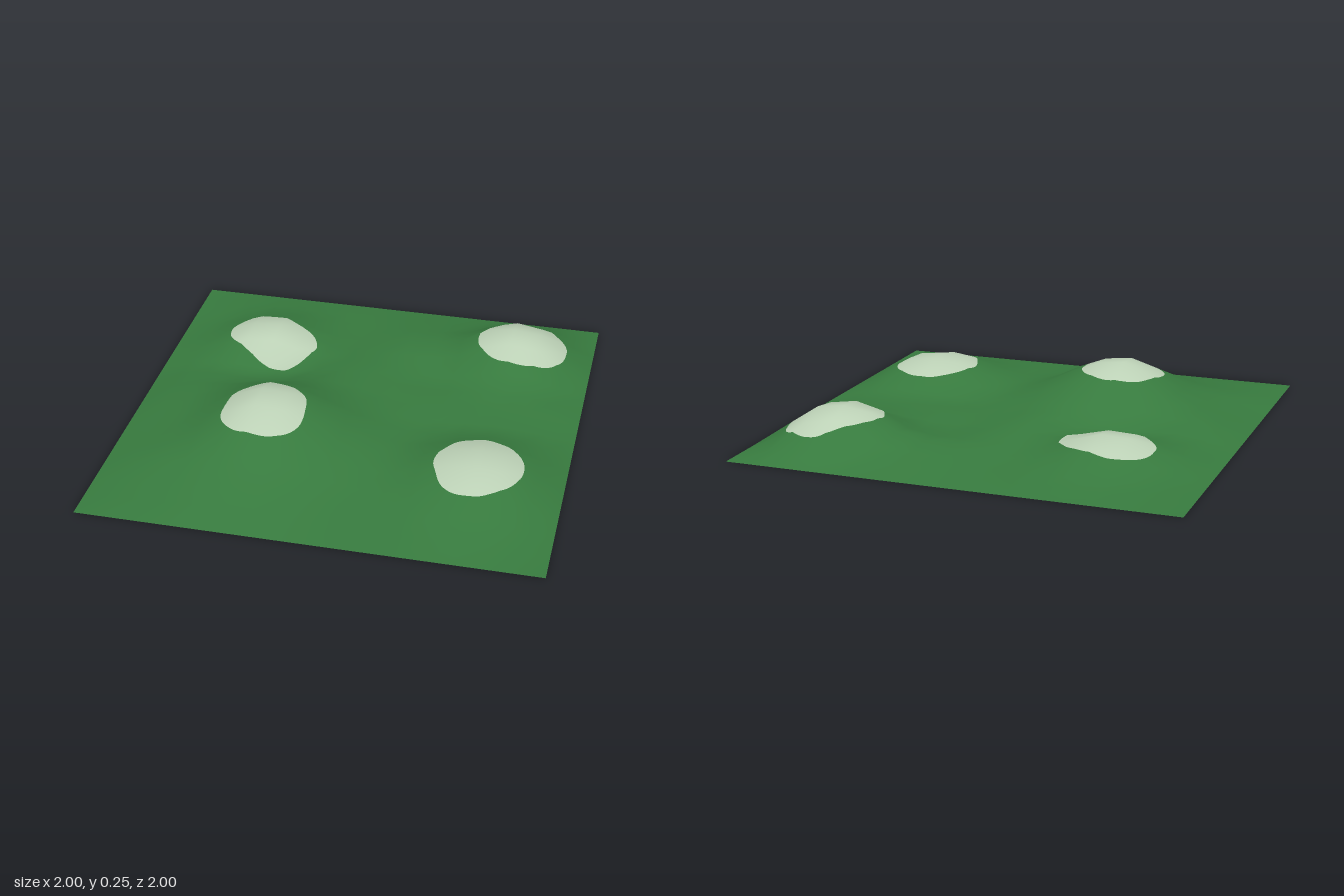
import * as THREE from 'three';

const N = 16;   // coarse terrain cells per side
const SUB = 6;  // fine steps per cell, for clean cap outlines

// hills: centre, height, spread toward -x, +x, -z, +z, flatness of the top
const hills = [
  [-0.35, 0.28, 0.24, 0.21, 0.28, 0.23, 0.285, 2],
  [0.65, -0.6, 0.163, 0.2, 0.2, 0.2, 0.2, 3],
  [0.63, 0.43, 0.135, 0.23, 0.22, 0.22, 0.25, 2.6],
  [-0.54, -0.46, 0.125, 0.19, 0.18, 0.2, 0.13, 2.4],
  [-0.42, -0.22, -0.02, 0.15, 0.12, 0.08, 0.1, 2],
  [-0.1, -0.27, 0.06, 0.15, 0.16, 0.15, 0.15, 2],
  [0.65, -0.13, 0.04, 0.3, 0.25, 0.12, 0.08, 2],
  [-0.78, 0.0, 0.045, 0.12, 0.14, 0.2, 0.2, 2],
  [0.22, -0.6, 0.05, 0.2, 0.2, 0.17, 0.11, 2],
  [-0.75, 0.58, 0.02, 0.15, 0.15, 0.12, 0.1, 2],
];

// pale caps: centre and outline radius every 30 degrees from +x toward +z
const caps = [
  { x: -0.35, z: 0.31, r: [0.185, 0.21, 0.22, 0.205, 0.205, 0.2, 0.18, 0.18, 0.19, 0.195, 0.19, 0.19] },
  { x: 0.67, z: -0.61, r: [0.21, 0.21, 0.2, 0.19, 0.2, 0.21, 0.21, 0.185, 0.18, 0.21, 0.215, 0.22] },
  { x: -0.52, z: -0.44, r: [0.22, 0.215, 0.22, 0.175, 0.15, 0.165, 0.21, 0.235, 0.235, 0.2, 0.18, 0.195] },
  { x: 0.63, z: 0.43, r: [0.195, 0.195, 0.205, 0.225, 0.225, 0.195, 0.195, 0.19, 0.205, 0.215, 0.205, 0.2] },
];

function height(x, z) {
  let y = 0.012;
  for (const [cx, cz, h, xa, xb, za, zb, power] of hills) {
    const u = (x - cx) / (x < cx ? xa : xb), v = (z - cz) / (z < cz ? za : zb);
    y += h * Math.exp(-0.5 * Math.hypot(u, v) ** power);
  }
  // slope down to a flat square rim
  const rim = (t) => Math.min(1, (1 - Math.abs(t)) / 0.135);
  return Math.max(0, y) * rim(x) * rim(z);
}

// positive inside the cap outline
function inside(cap, x, z) {
  const a = (Math.atan2(z - cap.z, x - cap.x) / (Math.PI * 2) + 1) * 12;
  const i = Math.floor(a), t = a - i, p = (k) => cap.r[(i + k + 12) % 12];
  const r = p(0) + 0.5 * t * (p(1) - p(-1)
    + t * (2 * p(-1) - 5 * p(0) + 4 * p(1) - p(2) + t * (3 * (p(0) - p(1)) + p(2) - p(-1))));
  return r - Math.hypot(x - cap.x, z - cap.z);
}

// part of a triangle where sign * f >= 0 (f is the last entry of a vertex)
function clip(tri, sign) {
  const out = [];
  tri.forEach((a, i) => {
    const b = tri[(i + 1) % tri.length], fa = a[6] * sign, fb = b[6] * sign;
    if (fa >= 0) out.push(a);
    if (fa * fb < 0) out.push(a.map((v, k) => v + (b[k] - v) * fa / (fa - fb)));
  });
  return out;
}

function emit(list, poly) {
  for (let i = 1; i + 1 < poly.length; i++) list.push(poly[0], poly[i], poly[i + 1]);
}

function toMesh(list, material, name) {
  const g = new THREE.BufferGeometry();
  g.setAttribute('position', new THREE.Float32BufferAttribute(list.flatMap((v) => v.slice(0, 3)), 3));
  g.setAttribute('normal', new THREE.Float32BufferAttribute(list.flatMap((v) => v.slice(3, 6)), 3));
  const mesh = new THREE.Mesh(g, material);
  mesh.name = name;
  return mesh;
}

export function createModel() {
  const grass = new THREE.MeshStandardMaterial({ color: 0x377a3e, side: THREE.DoubleSide });
  grass.name = 'grass green';
  const pale = new THREE.MeshStandardMaterial({ color: 0xbcd1b6, side: THREE.DoubleSide });
  pale.name = 'pale cap';

  // coarse height grid with smooth normals
  const grid = new THREE.PlaneGeometry(2, 2, N, N).rotateX(-Math.PI / 2);
  const pos = grid.attributes.position;
  for (let i = 0; i < pos.count; i++) pos.setY(i, height(pos.getX(i), pos.getZ(i)));
  grid.computeVertexNormals();
  const nor = grid.attributes.normal;
  const node = (i, j) => {
    const k = j * (N + 1) + i;
    return [pos.getX(k), pos.getY(k), pos.getZ(k), nor.getX(k), nor.getY(k), nor.getZ(k)];
  };

  // point on the two flat triangles of a coarse cell
  const sample = (i, j, u, v) => {
    const a = node(i, j), b = node(i, j + 1), c = node(i + 1, j + 1), d = node(i + 1, j);
    return a.map((_, k) => (u + v <= 1
      ? a[k] + u * (d[k] - a[k]) + v * (b[k] - a[k])
      : c[k] + (1 - u) * (b[k] - c[k]) + (1 - v) * (d[k] - c[k])));
  };

  // split the surface into ground and caps along the outlines
  const ground = [], tops = caps.map(() => []);
  for (let j = 0; j < N; j++) for (let i = 0; i < N; i++) {
    for (let q = 0; q < SUB; q++) for (let p = 0; p < SUB; p++) {
      const at = (dx, dz) => sample(i, j, (p + dx) / SUB, (q + dz) / SUB);
      const a = at(0, 0), b = at(0, 1), c = at(1, 1), d = at(1, 0);
      for (const tri of [[a, b, d], [b, c, d]]) {
        const near = caps.findIndex((cap) => tri.some((v) => inside(cap, v[0], v[2]) > 0));
        if (near < 0) { emit(ground, tri); continue; }
        const marked = tri.map((v) => [...v, inside(caps[near], v[0], v[2])]);
        emit(tops[near], clip(marked, 1));
        emit(ground, clip(marked, -1));
      }
    }
  }

  const model = new THREE.Group();
  model.name = 'hillyTerrain';
  model.add(toMesh(ground, grass, 'ground'));
  tops.forEach((list, k) => model.add(toMesh(list, pale, `hillCap${k + 1}`)));
  return model;
}
